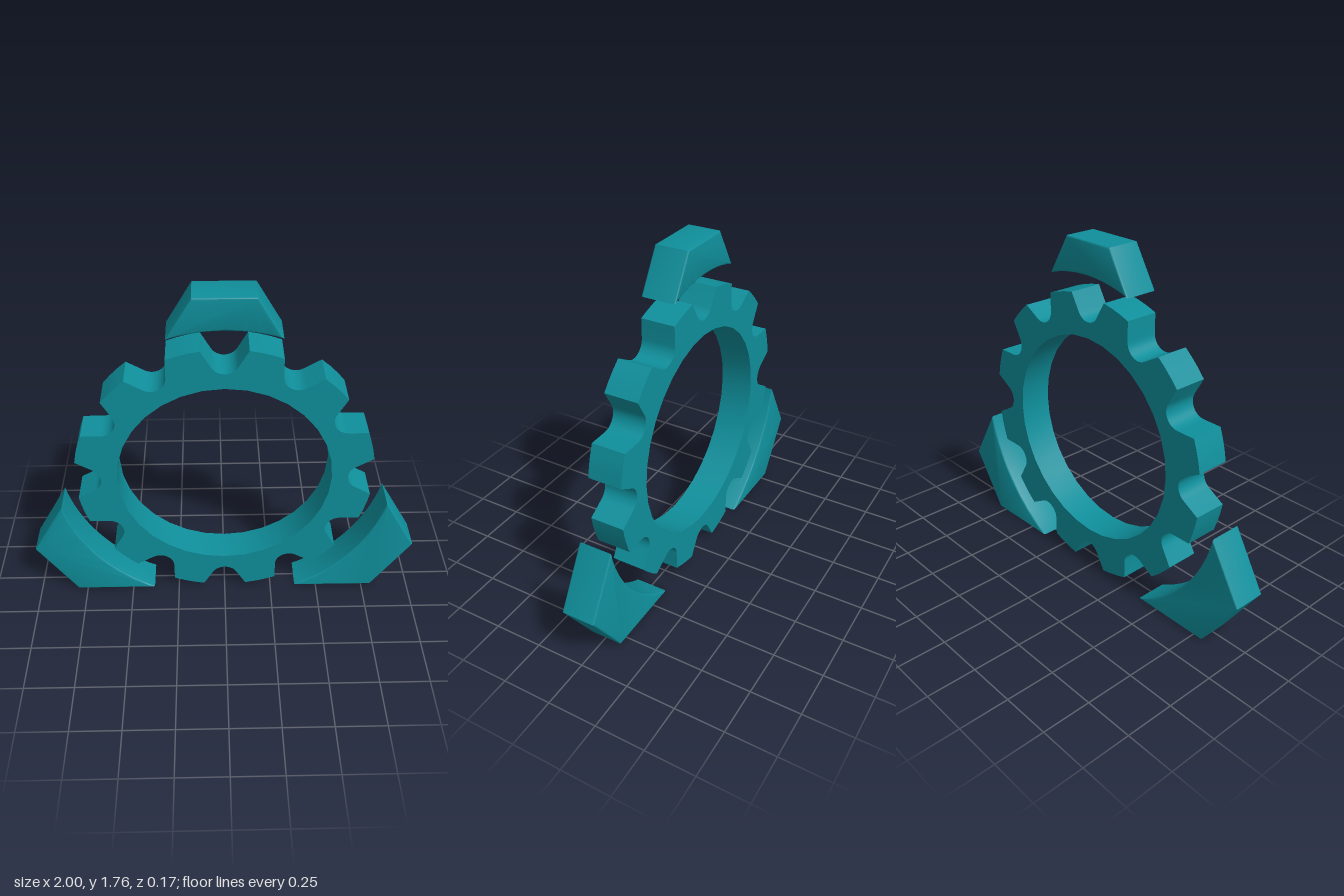
import * as THREE from 'three';
import { toCreasedNormals } from 'three/addons/utils/BufferGeometryUtils.js';

const DEPTH = 0.173, CENTRE_Y = 0.765;
const teal = new THREE.MeshStandardMaterial({ color: 0x0f8f9b });

function plate(name, shape, bevel) {
  const geo = new THREE.ExtrudeGeometry(shape, {
    depth: DEPTH - 2 * bevel, curveSegments: 16, bevelEnabled: bevel > 0,
    bevelThickness: bevel, bevelSize: bevel, bevelOffset: -bevel, bevelSegments: 3,
  });
  geo.translate(0, 0, bevel - DEPTH / 2);
  const mesh = new THREE.Mesh(toCreasedNormals(geo, 0.65), teal);
  mesh.name = name;
  return mesh;
}

// Toothed ring: twelve round-bottomed notches with flared walls
function ringShape() {
  const teeth = 12, outer = 0.745, notchCentre = 0.687, notchR = 0.072;
  const half = Math.asin(0.112 / outer), step = (Math.PI * 2) / teeth;
  const pts = [];
  for (let i = 0; i < teeth; i++) {
    const a = i * step, c = Math.cos(a), s = Math.sin(a);
    // notch floor, from its clockwise side to its counter-clockwise side
    for (let k = 0; k <= 12; k++) {
      const t = -Math.PI * 2 / 3 + (k / 12) * Math.PI * 4 / 3;
      const u = notchCentre - notchR * Math.cos(t * 0.5 * 1.0), v = notchR * Math.sin(t * 0.5);
      pts.push(new THREE.Vector2(u * c - v * s, u * s + v * c));
    }
    // tooth tip
    for (let k = 0; k <= 3; k++) {
      const t = a + half + (k / 3) * (step - 2 * half);
      pts.push(new THREE.Vector2(outer * Math.cos(t), outer * Math.sin(t)));
    }
  }
  const shape = new THREE.Shape(pts);
  const bore = new THREE.Path();
  bore.absarc(0, 0, 0.535, 0, Math.PI * 2, true);
  shape.holes.push(bore);
  return shape;
}

// Outer pad: straight outer corners closed by an arc concentric with the ring
function padShape(corners, radius, from, to) {
  const pts = corners.map(([x, y]) => new THREE.Vector2(x, y));
  for (let k = 0; k <= 20; k++) {
    const t = from + (to - from) * k / 20;
    pts.push(new THREE.Vector2(radius * Math.cos(t), radius * Math.sin(t)));
  }
  return new THREE.Shape(pts);
}

export function createModel() {
  const group = new THREE.Group();
  group.name = 'gearEmblem';
  const body = new THREE.Group();
  body.name = 'gearAndPads';
  body.position.y = CENTRE_Y;
  group.add(body);

  body.add(plate('gearRing', ringShape(), 0));

  const tip = Math.atan2(0.795, 0.265);
  body.add(plate('topPad',
    padShape([[0.145, 1], [-0.145, 1]], 0.839, Math.PI - tip, tip), 0.008));

  // Lower pads, mirrored left and right
  const low = Math.atan2(-0.765, 0.385), high = Math.atan2(-0.18, 0.828);
  for (const side of [1, -1]) {
    const corners = [[0.8, -0.765], [1, -0.47]];
    const shape = side > 0
      ? padShape(corners, 0.852, high, low)
      : padShape(corners.reverse().map(([x, y]) => [-x, y]), 0.852, Math.PI - low, Math.PI - high);
    body.add(plate(side > 0 ? 'leftPad' : 'rightPad', shape, 0.008));
  }
  return group;
}
